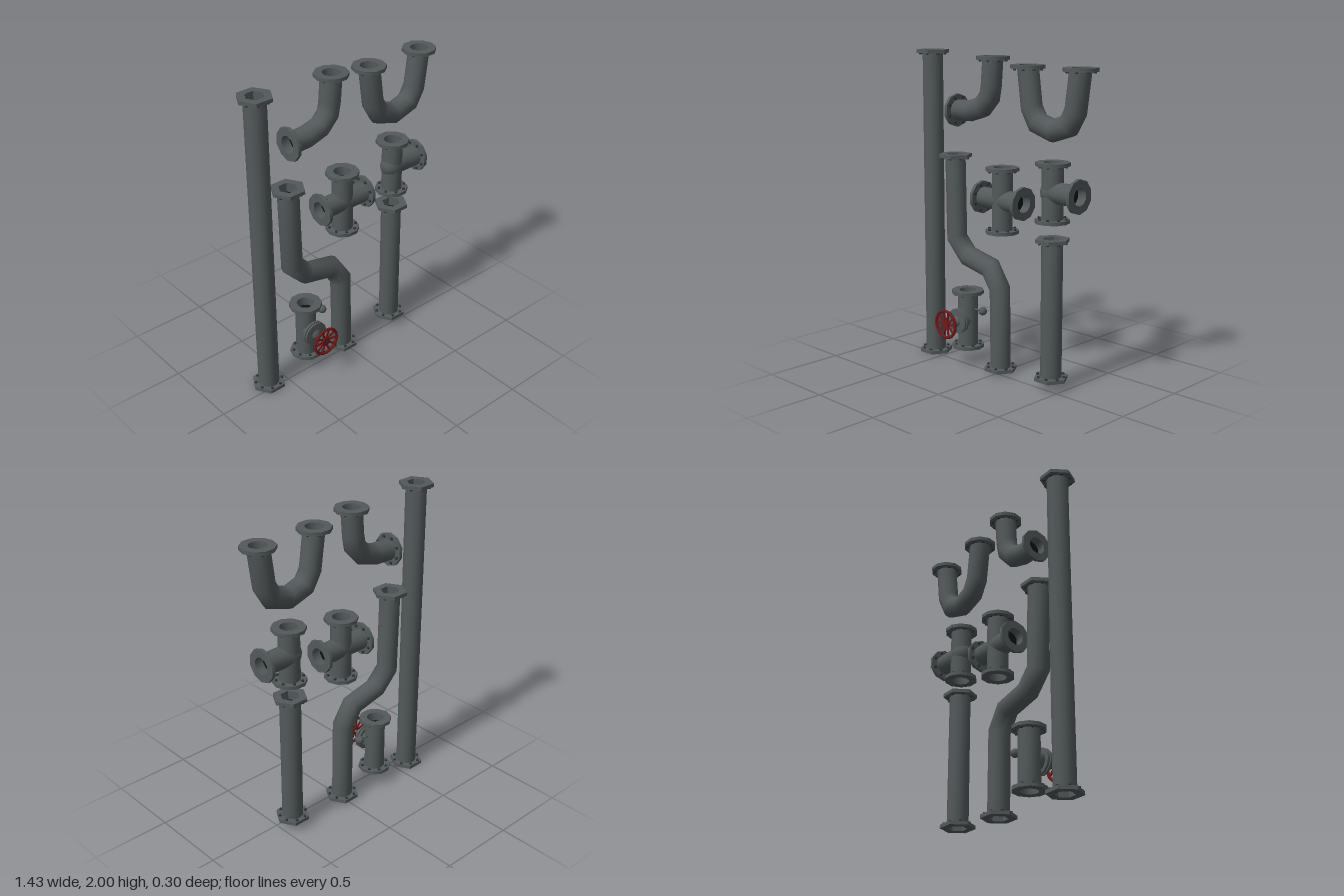
import * as THREE from 'three';
import { mergeVertices, toCreasedNormals } from 'three/addons/utils/BufferGeometryUtils.js';

const steel = new THREE.MeshStandardMaterial({ color: 0x53595a });
steel.name = 'steel grey';
const dark = new THREE.MeshStandardMaterial({ color: 0x101212 });
dark.name = 'bore black';
const bolt = new THREE.MeshStandardMaterial({ color: 0x303536 });
bolt.name = 'bolt grey';
const red = new THREE.MeshStandardMaterial({ color: 0x6e1a1a });
red.name = 'wheel red';

const Z = -0.05;      // depth of the pipe plane
const R = 0.066;      // pipe radius
const FLANGE = 0.104; // flange radius
const UP = new THREE.Vector3(0, 1, 0);

function add(parent, name, geometry, material, x = 0, y = 0, z = 0) {
  const mesh = new THREE.Mesh(geometry, material);
  mesh.name = name;
  mesh.position.set(x, y, z);
  parent.add(mesh);
  return mesh;
}

// Lathe with crisp edges; profile runs along +y
function turned(profile, sides) {
  const g = new THREE.LatheGeometry(profile.map(p => new THREE.Vector2(p[0], p[1])), sides);
  g.rotateY(Math.PI / 2);
  return toCreasedNormals(g, 0.7);
}

// Mitred tube along a path in the pipe plane
function pipe(parent, name, path, sides = 12) {
  let g = new THREE.CylinderGeometry(R, R, 1, sides, path.length - 1, true);
  const pts = path.map(p => new THREE.Vector2(p[0], p[1]));
  const pos = g.attributes.position;
  pts.forEach((p, i) => {
    const a = p.clone().sub(pts[Math.max(i - 1, 0)]).normalize();
    const b = pts[Math.min(i + 1, pts.length - 1)].clone().sub(p).normalize();
    const t = a.clone().add(b).normalize();
    const stretch = 1 / t.dot(i ? a : b);
    for (let j = 0; j <= sides; j++) {
      const k = i * (sides + 1) + j;
      const w = pos.getX(k) * stretch;
      pos.setXYZ(k, p.x - t.y * w, p.y + t.x * w, pos.getZ(k));
    }
  });
  g.deleteAttribute('uv');
  g.deleteAttribute('normal');
  g = mergeVertices(g);
  g.computeVertexNormals();
  return add(parent, name, g, steel, 0, 0, Z);
}

// Bolted ring whose outer face sits at (x, y) and looks along (dx, dy)
function flange(parent, x, y, dx, dy, sides = 10) {
  const group = new THREE.Group();
  group.name = 'flange';
  const r = sides < 8 ? FLANGE + 0.003 : FLANGE;
  const bore = sides < 8 ? 0.058 : 0.055;
  const profile = [[R - 0.005, -0.022], [r, -0.022], [r, 0], [bore, 0], [bore, -0.06]];
  add(group, 'flangeRing', turned(profile, sides), steel);
  const cap = new THREE.CircleGeometry(bore, sides).rotateX(-Math.PI / 2);
  add(group, 'bore', cap, dark, 0, -0.058, 0);
  const head = new THREE.CylinderGeometry(0.009, 0.009, 0.012, 6);
  for (let i = 0; i < 8; i++) {
    const a = (i + 0.5) * Math.PI / 4;
    add(group, 'bolt', head, bolt, 0.084 * Math.cos(a), -0.025, 0.084 * Math.sin(a));
  }
  group.position.set(x, y, Z);
  group.quaternion.setFromUnitVectors(UP, new THREE.Vector3(dx, dy, 0));
  parent.add(group);
}

function part(parent, name) {
  const g = new THREE.Group();
  g.name = name;
  parent.add(g);
  return g;
}

// Straight vertical pipe with a flange at each end
function straight(root, name, x, bottom, top, sides) {
  const g = part(root, name);
  pipe(g, 'pipeBody', [[x, top - 0.01], [x, bottom + 0.01]]);
  flange(g, x, top, 0, 1, sides);
  flange(g, x, bottom, 0, -1, sides);
  return g;
}

function handWheel(parent, x, y) {
  const g = part(parent, 'handWheel');
  g.position.set(x, y, 0.145);
  add(g, 'wheelRim', new THREE.TorusGeometry(0.087, 0.01, 6, 20), red, 0, 0, 0.002);
  add(g, 'wheelHub', new THREE.CylinderGeometry(0.024, 0.03, 0.024, 10).rotateX(-Math.PI / 2), red, 0, 0, -0.004);
  const spoke = new THREE.BoxGeometry(0.07, 0.011, 0.009);
  spoke.rotateY(-0.12);
  spoke.translate(0.052, 0, -0.002);
  for (let i = 0; i < 10; i++) {
    add(g, 'wheelSpoke', spoke, red).rotation.z = i * Math.PI / 5;
  }
}

export function createModel() {
  const root = new THREE.Group();
  root.name = 'pipeSet';

  // Straight pipes
  straight(root, 'longPipe', -0.615, 0, 2, 6);
  straight(root, 'shortPipe', 0.41, 0.055, 0.93, 6);

  // Offset pipe
  const offset = part(root, 'offsetPipe');
  pipe(offset, 'pipeBody', [[-0.413, 1.34], [-0.402, 0.81], [-0.3, 0.705], [-0.1, 0.66], [-0.02, 0.54], [-0.013, 0.03]]);
  flange(offset, -0.413, 1.352, 0, 1, 6);
  flange(offset, -0.013, 0.014, 0, -1, 6);

  // Quarter bend
  const elbow = part(root, 'elbowPipe');
  pipe(elbow, 'pipeBody', [[-0.39, 1.63], [-0.27, 1.635], [-0.17, 1.665], [-0.108, 1.73], [-0.094, 1.8], [-0.08, 1.97]]);
  flange(elbow, -0.08, 1.978, 0, 1);
  flange(elbow, -0.406, 1.63, -1, 0);

  // Return bend
  const bend = part(root, 'returnBend');
  const half = [[-0.201, 1.93], [-0.168, 1.69], [-0.118, 1.605], [0, 1.568]];
  const other = half.slice(0, 3).reverse().map(p => [-p[0], p[1]]);
  pipe(bend, 'pipeBody', [...half, ...other].map(p => [p[0] + 0.407, p[1]]));
  for (const s of [-1, 1]) flange(bend, 0.407 + s * 0.201, 1.938, 0, 1);

  // Four-way cross
  const cross = straight(root, 'crossFitting', 0, 0.9, 1.31, 10);
  pipe(cross, 'crossBranch', [[-0.17, 1.105], [0.17, 1.105]]);
  for (const s of [-1, 1]) flange(cross, s * 0.182, 1.105, s, 0);

  // Three-way tee
  const tee = straight(root, 'teeFitting', 0.408, 1.025, 1.385, 10);
  pipe(tee, 'teeBranch', [[0.408, 1.205], [0.605, 1.205]]);
  add(tee, 'teeShoulder', new THREE.SphereGeometry(0.079, 12, 8), steel, 0.408, 1.205, Z).scale.z = 0.88;
  flange(tee, 0.617, 1.205, 1, 0);

  // Valve body, bonnet and stem
  const vx = -0.307, vy = 0.29;
  const valve = straight(root, 'valve', vx, 0.098, 0.48, 10);
  const bonnet = turned([
    [0.058, 0], [0.058, 0.068], [0.08, 0.07], [0.08, 0.084], [0.055, 0.085], [0.055, 0.09],
    [0.08, 0.091], [0.08, 0.104], [0.035, 0.106], [0.022, 0.12], [0.011, 0.122], [0.011, 0.2], [0, 0.2],
  ], 12).rotateX(Math.PI / 2);
  add(valve, 'bonnet', bonnet, steel, vx, vy, Z);
  add(valve, 'stemNut', new THREE.SphereGeometry(0.023, 10, 8), steel, vx, vy, 0.095);
  handWheel(valve, vx, vy);

  // Side bleed knob
  add(valve, 'knobStem', new THREE.CylinderGeometry(0.006, 0.006, 0.09, 6).rotateZ(Math.PI / 2), steel, vx + 0.095, 0.363, Z);
  add(valve, 'knob', new THREE.SphereGeometry(0.028, 8, 6), steel, -0.172, 0.363, Z);

  return root;
}
